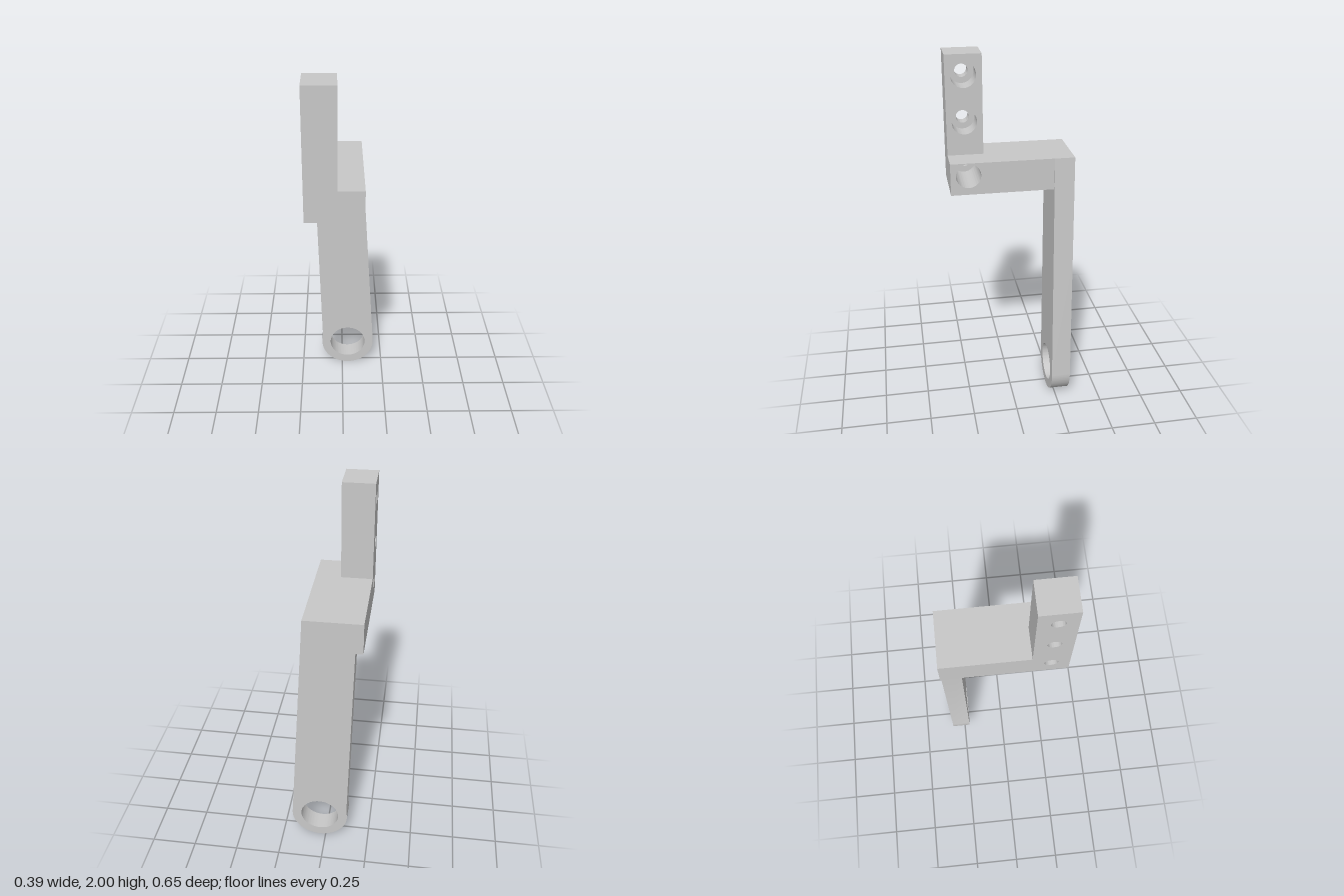
import * as THREE from 'three';
import { toCreasedNormals } from 'three/addons/utils/BufferGeometryUtils.js';

const HOLE_Z = 0.231;
const HOLE_Y = [1.412, 1.655, 1.896];
const BACK = -0.324, FRONT = 0.324;

function outline(points, holes) {
  const shape = new THREE.Shape(points.map(([x, y]) => new THREE.Vector2(x, y)));
  for (const [x, y, r] of holes) {
    shape.holes.push(new THREE.Path().absarc(x, y, r, 0, Math.PI * 2, true));
  }
  return shape;
}

function extrude(shape, depth) {
  const geometry = new THREE.ExtrudeGeometry(shape, { depth, bevelEnabled: false, curveSegments: 48 });
  return toCreasedNormals(geometry, 0.4);
}

export function createModel() {
  const group = new THREE.Group();
  const grey = new THREE.MeshStandardMaterial({ color: 0xc8c8c8 });
  grey.name = 'light grey';

  function add(name, geometry) {
    const mesh = new THREE.Mesh(geometry, grey);
    mesh.name = name;
    group.add(mesh);
  }

  // Side profile (drawn in -z, y) pushed along x between two planes
  function slab(name, points, radius, holeYs, x0, x1) {
    const shape = outline(points.map(([z, y]) => [-z, y]), holeYs.map((y) => [-HOLE_Z, y, radius]));
    add(name, extrude(shape, x1 - x0).rotateY(Math.PI / 2).translate(x0, 0, 0));
  }

  const bracket = [[FRONT, 1.31], [BACK, 1.31], [BACK, 1.48], [0.136, 1.48], [0.136, 2], [FRONT, 2]];
  const arm = [[FRONT, 1.31], [BACK, 1.31], [BACK, 1.48], [FRONT, 1.48]];

  // Upright and arm: narrow screw holes open into wide counterbores
  slab('bracketScrewHoles', bracket, 0.034, HOLE_Y, -0.194, -0.13);
  slab('bracketCounterbores', bracket, 0.065, HOLE_Y, -0.13, -0.026);
  slab('armCounterbore', arm, 0.065, [HOLE_Y[0]], -0.026, 0.109);

  // Tapered leg, from the arm's top corner to a rounded eye at its foot
  const cx = 0.034, cy = 0.16, r = 0.16;
  const leg = new THREE.Shape();
  leg.moveTo(0.109, 1.48);
  leg.lineTo(-0.159, 1.48);
  leg.absarc(cx, cy, r, Math.PI - 0.23, Math.PI * 2 + 0.065, false);
  leg.closePath();
  leg.holes.push(new THREE.Path().absarc(cx, cy, 0.108, 0, Math.PI * 2, true));
  add('leg', extrude(leg, 0.107).translate(0, 0, BACK));

  return group;
}
